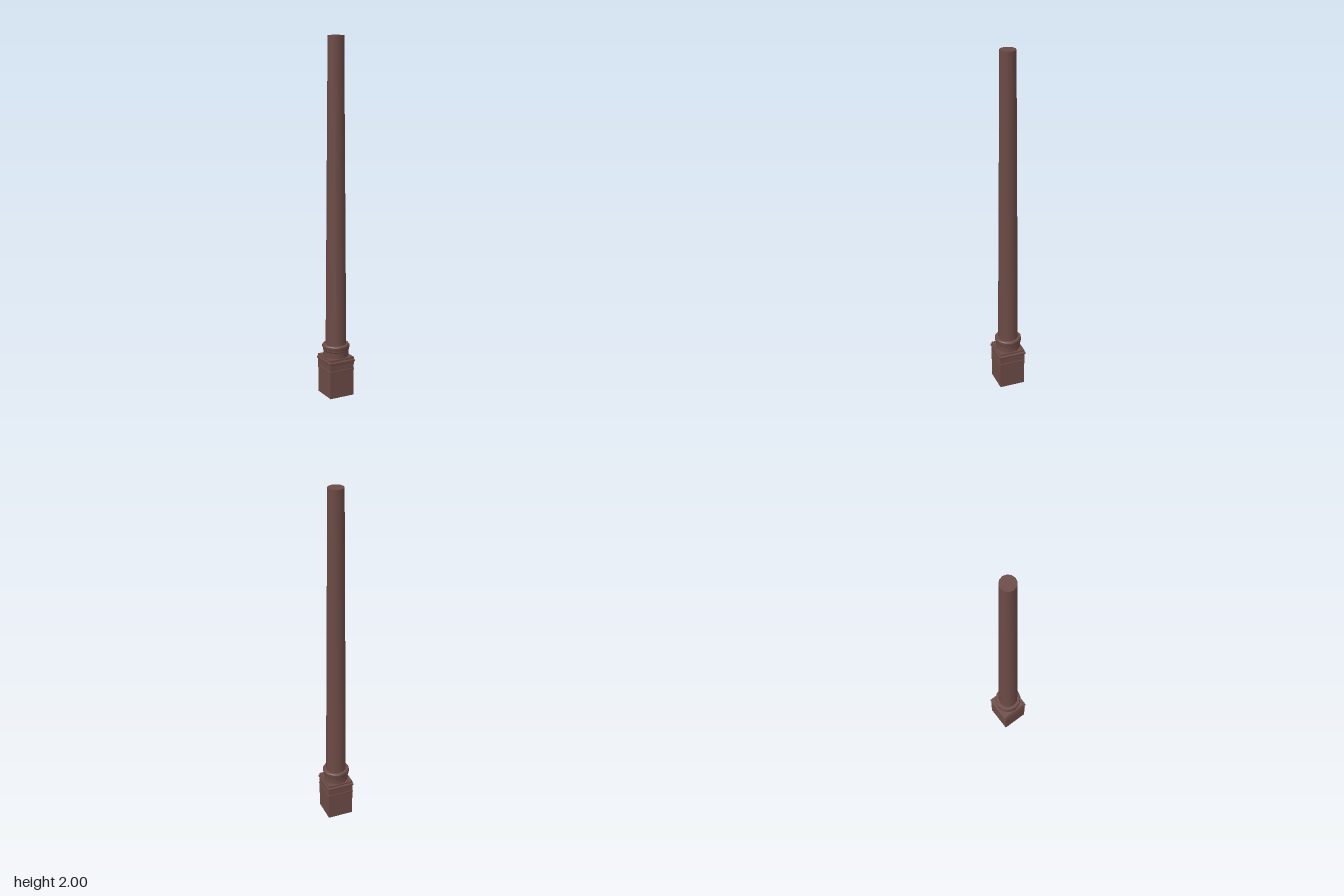
import * as THREE from 'three';
import { toCreasedNormals } from 'three/addons/utils/BufferGeometryUtils.js';

export function createModel() {
  const group = new THREE.Group();
  const brick = new THREE.MeshStandardMaterial({ color: 0x6b4a45, side: THREE.DoubleSide });
  brick.name = 'brownBrick';

  // Revolves a [radius, y] profile with the given number of sides
  const turned = (name, profile, sides, crease, turn = 0) => {
    const points = profile.map(([r, y]) => new THREE.Vector2(r, y));
    const geometry = new THREE.LatheGeometry(points, sides, turn);
    const mesh = new THREE.Mesh(toCreasedNormals(geometry, crease), brick);
    mesh.name = name;
    group.add(mesh);
  };

  // Square pedestal, open underneath, with two thin mouldings
  const s = Math.SQRT2;
  turned('pedestal', [
    [0.074 * s, 0], [0.074 * s, 0.15], [0.076 * s, 0.152], [0.076 * s, 0.157], [0.074 * s, 0.16],
    [0.074 * s, 0.195], [0.079 * s, 0.2], [0.079 * s, 0.209], [0.074 * s, 0.214],
    [0.074 * s, 0.225], [0, 0.225],
  ], 4, 0.3, Math.PI / 4);

  // Twelve-sided drum with a stepped collar
  turned('collar', [
    [0.07, 0.225], [0.07, 0.257], [0.074, 0.262], [0.074, 0.272],
    [0.077, 0.277], [0.077, 0.29], [0.073, 0.295], [0.05, 0.295],
  ], 12, 0.6);

  // Tall tapering shaft with a flat top
  turned('shaft', [[0.058, 0.29], [0.044, 2], [0, 2]], 12, 0.6);

  return group;
}
